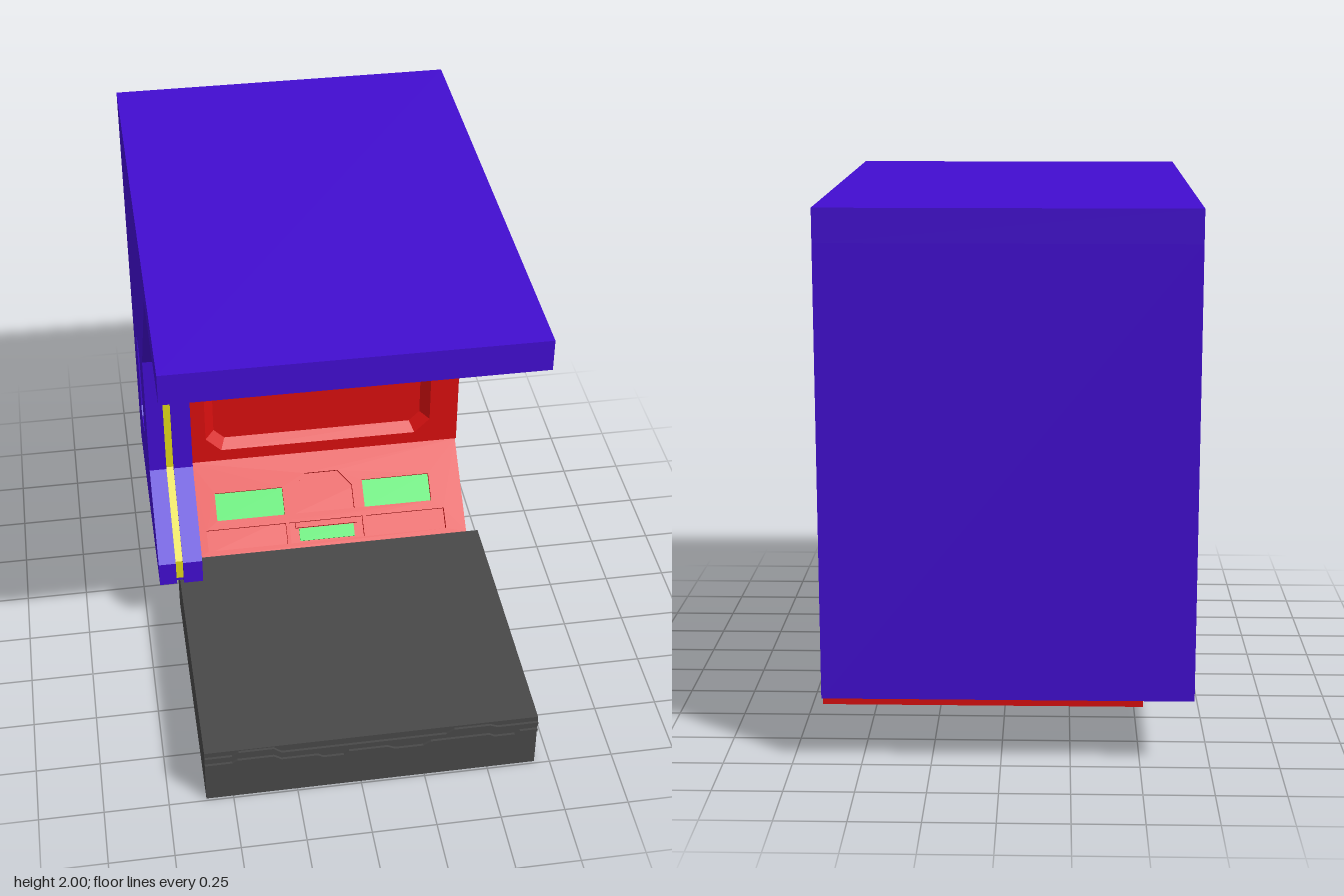
import * as THREE from 'three';

const mat = (name, color) => {
  const m = new THREE.MeshStandardMaterial({ color });
  m.name = name;
  return m;
};

export function createModel() {
  const purple = mat('purple', 0x420dd0);
  const red = mat('red', 0xd80f0f);
  const green = mat('green', 0x14da4a);
  const grey = mat('grey', 0x484848);
  const yellow = mat('yellow', 0xe0d818);
  const model = new THREE.Group();

  const add = (name, geo, material, parent = model) => {
    const mesh = new THREE.Mesh(geo, material);
    mesh.name = name;
    parent.add(mesh);
    return mesh;
  };
  // box from its limits
  const box = (name, material, x0, x1, y0, y1, z0, z1, parent) =>
    add(name, new THREE.BoxGeometry(x1 - x0, y1 - y0, z1 - z0)
      .translate((x0 + x1) / 2, (y0 + y1) / 2, (z0 + z1) / 2), material, parent);
  const outline = (pts) => pts.map(([a, b]) => new THREE.Vector2(a, b));
  const extrude = (pts, depth, holes = []) => {
    const shape = new THREE.Shape(outline(pts));
    holes.forEach((h) => shape.holes.push(new THREE.Path(outline(h))));
    return new THREE.ExtrudeGeometry(shape, { depth, bevelEnabled: false });
  };
  // side profile given as [z, y], extruded from x0 to x1
  const profile = (name, material, pts, x0, x1, holes) =>
    add(name, extrude(pts, x1 - x0, holes).rotateY(-Math.PI / 2).translate(x1, 0, 0), material);
  const rect = (x0, x1, y0, y1) => [[x0, y0], [x1, y0], [x1, y1], [x0, y1]];
  const octagon = (x0, x1, y0, y1, c) => [
    [x0 + c, y0], [x1 - c, y0], [x1, y0 + c], [x1, y1 - c],
    [x1 - c, y1], [x0 + c, y1], [x0, y1 - c], [x0, y0 + c]];

  // purple shell
  box('roof', purple, -0.69, 0.64, 1.88, 2, -1, 0.94);
  box('backWall', purple, -0.69, 0.64, 0.25, 1.88, -1, -0.95);

  // side wall in three layers: the middle one sits back to form the groove
  const edge = [[0.025, 0.25], [0.025, 0.36], [-0.26, 0.635], [-0.26, 1.19], [0.33, 1.88]];
  const inset = (d) => edge.map(([z, y]) => [z - d, y]);
  const wall = (d) => [[-0.95, 0.25], ...inset(d), [-0.95, 1.88]];
  const recess = [octagon(-0.715, -0.53, 0.6, 1.03, 0.035)];
  profile('sideWallOuter', purple, wall(0), -0.69, -0.62, recess);
  profile('sideWallCore', purple, wall(0.02), -0.62, -0.59);
  profile('sideWallInner', purple, wall(0), -0.59, -0.51, recess);
  const strip = [...inset(0.012), ...inset(0.02).reverse()];
  strip[0][1] = strip[strip.length - 1][1] = 0.27;
  profile('lightStrip', yellow, strip, -0.62, -0.59);

  // red cabinet with an open bay at the back
  profile('cabinet', red, [
    [-0.95, 0.21], [-0.12, 0.21], [-0.121, 0.248], [-0.1335, 0.235], [-0.4335, 0.51],
    [-0.421, 0.525], [-0.46, 0.525], [-0.46, 1.2], [-0.4, 1.2], [0.03, 1.88],
    [-0.95, 1.88], [-0.95, 1.19], [-0.69, 1.19], [-0.69, 0.525], [-0.95, 0.525],
  ], -0.51, 0.64);

  // screen surround with a bevelled opening
  const outer = octagon(-0.44, 0.525, 0.58, 1.135, 0.065);
  const inner = octagon(-0.402, 0.487, 0.617, 1.098, 0.045);
  add('screenSurround', extrude(rect(-0.51, 0.645, 0.525, 1.2), 0.04, [outer])
    .translate(0, 0, -0.46), red);
  const bevel = [];
  outer.forEach((a, i) => {
    const j = (i + 1) % 8;
    const A = [...a, -0.42], B = [...outer[j], -0.42];
    const C = [...inner[j], -0.459], D = [...inner[i], -0.459];
    bevel.push(...A, ...B, ...C, ...A, ...C, ...D);
  });
  const bevelGeo = new THREE.BufferGeometry();
  bevelGeo.setAttribute('position', new THREE.Float32BufferAttribute(bevel, 3));
  bevelGeo.computeVertexNormals();
  add('screenBevel', bevelGeo, red);

  // sloping control panel, built flat and tilted
  const panel = new THREE.Group();
  panel.name = 'controlPanel';
  panel.position.set(0, 0.25, -0.12);
  panel.rotation.x = -Math.atan2(0.3, 0.275);
  model.add(panel);
  const keys = [[-0.42, -0.13], [0.215, 0.505]];
  const arch = [[-0.085, 0.148], [0.17, 0.148], [0.17, 0.25], [0.115, 0.318], [-0.03, 0.318], [-0.085, 0.25]];
  const holes = [
    ...keys.map(([a, b]) => rect(a, b, 0.148, 0.266)),
    rect(-0.47, -0.13, 0.022, 0.111), rect(0.215, 0.555, 0.022, 0.111),
    rect(-0.115, 0.2, 0.022, 0.111), arch,
  ];
  add('panelFace', extrude(rect(-0.51, 0.64, 0, 0.407), 0.02, holes).translate(0, 0, -0.02), red, panel);
  keys.forEach(([a, b]) => box('keyDisplay', green, a, b, 0.148, 0.266, -0.02, -0.015, panel));
  box('centreDisplay', green, -0.075, 0.16, 0.03, 0.084, -0.02, -0.012, panel);
  box('centreLedge', red, -0.09, 0.175, 0.086, 0.108, -0.02, 0.003, panel);

  // two rails across the overhang, each with five framed panels
  const rail = [[-0.305, 1.41], [-0.225, 1.385], [-0.18, 1.46], [-0.195, 1.515], [-0.25, 1.53]];
  const tilt = Math.atan2(0.045, 0.075);
  [0, 1].forEach((i) => {
    const dz = -0.105 * i, dy = -0.165 * i;
    profile('rail', red, rail.map(([z, y]) => [z + dz, y + dy]), -0.51, 0.67);
    const frame = new THREE.Group();
    frame.name = 'railFrame';
    frame.position.set(0, 1.385 + dy, -0.225 + dz);
    frame.rotation.x = tilt;
    model.add(frame);
    box('railTrim', red, -0.51, 0.67, 0.078, 0.0875, -0.005, 0.006, frame);
    box('railTrim', red, -0.51, 0.67, 0, 0.008, -0.005, 0.006, frame);
    [-0.29, -0.067, 0.16, 0.385, 0.615].forEach((x) =>
      box('railDivider', red, x - 0.007, x + 0.007, 0.008, 0.078, -0.005, 0.006, frame));
  });

  // speaker grille on the overhang
  const grille = new THREE.Group();
  grille.name = 'speakerGrille';
  grille.position.set(0, 1.2, -0.4);
  grille.rotation.x = Math.atan2(0.43, 0.68);
  model.add(grille);
  box('grillePlate', red, -0.09, 0.175, 0.408, 0.497, -0.005, 0.008, grille);
  box('grilleBar', red, -0.09, 0.175, 0.408, 0.418, 0.008, 0.02, grille);
  box('grilleBar', red, -0.09, 0.175, 0.487, 0.497, 0.008, 0.02, grille);
  for (let i = 0; i < 10; i++) {
    const x = -0.09 + i * 0.0285;
    box('grilleRib', red, x, x + 0.009, 0.418, 0.487, 0.008, 0.02, grille);
  }

  // grey platform with stepped trim along its front
  box('platform', grey, -0.605, 0.69, 0, 0.25, -0.12, 0.99);
  const trim = (pts, h) => add('platformTrim',
    extrude([...pts, ...pts.map(([x, y]) => [x, y + h]).reverse()], 0.01).translate(0, 0, 0.99), grey);
  trim([[-0.605, 0.212], [-0.5, 0.212], [-0.475, 0.23], [-0.34, 0.23], [-0.31, 0.205],
    [0.33, 0.205], [0.36, 0.225], [0.5, 0.225], [0.53, 0.212], [0.69, 0.212]], 0.016);
  trim([[-0.605, 0.18], [-0.5, 0.18], [-0.48, 0.192], [-0.34, 0.192], [-0.31, 0.172],
    [-0.17, 0.172], [-0.15, 0.158], [-0.07, 0.158], [-0.05, 0.175], [0.1, 0.175],
    [0.13, 0.16], [0.24, 0.16], [0.27, 0.178], [0.5, 0.178], [0.52, 0.165],
    [0.6, 0.165], [0.62, 0.18], [0.69, 0.18]], 0.012);

  return model;
}
